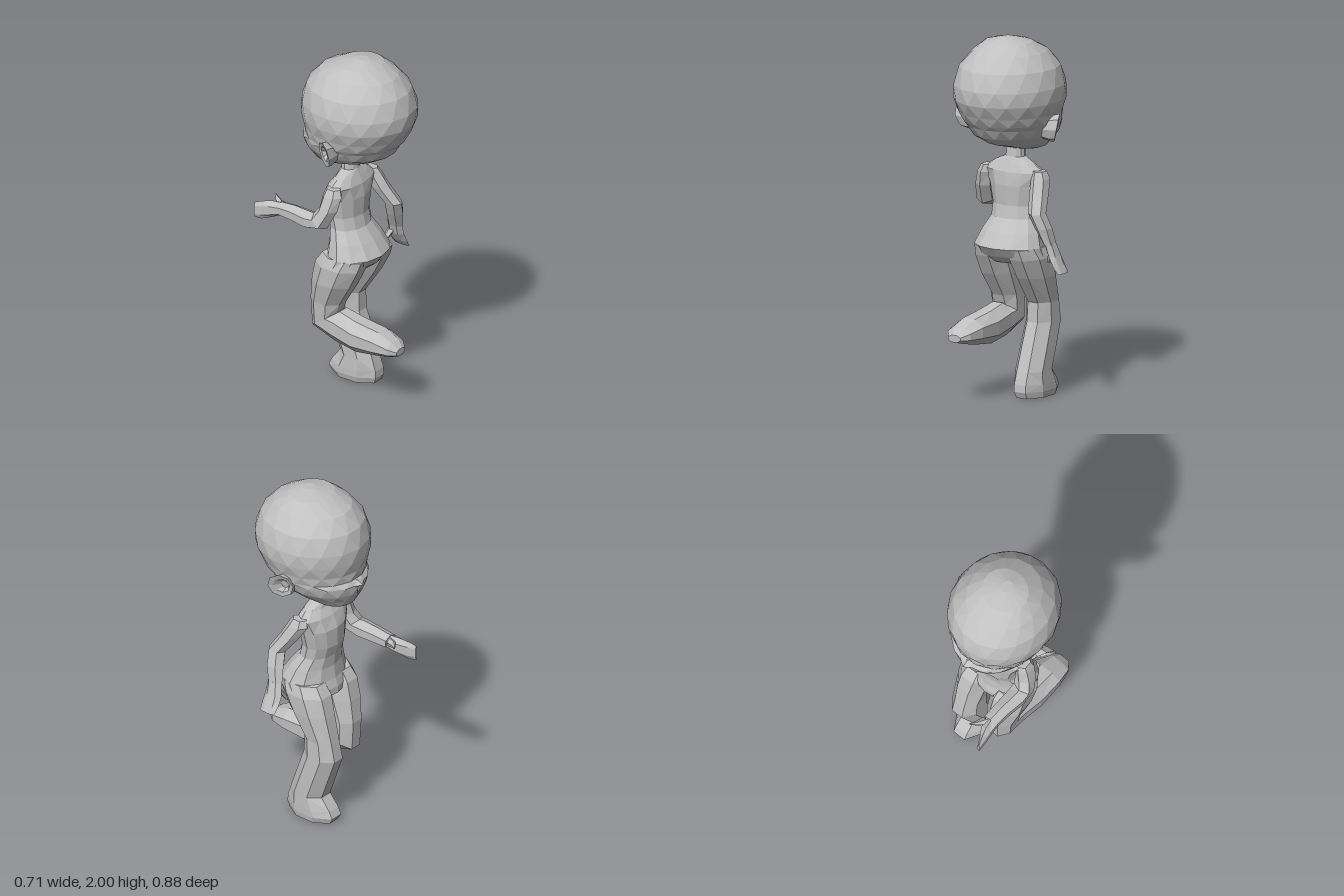
import * as THREE from 'three';

const clay = new THREE.MeshStandardMaterial({ color: 0xc0c0c0 });
clay.name = 'light grey';
clay.flatShading = true;

// Lofts rings [x, y, z, halfWidth, halfDepth, tilt in degrees].
// Tilt 0 travels down, 90 travels to +z, -90 travels to -z.
// turn gives the twist of even and odd rings, in steps of one side.
function loft(name, rings, sides, turn = [0, 0]) {
  const pos = [], idx = [], step = (Math.PI * 2) / sides;
  rings.forEach(([x, y, z, w, d, tilt = 0], j) => {
    const t = THREE.MathUtils.degToRad(tilt), twist = turn[j % 2] * step;
    const grow = 1 / Math.cos(twist);
    for (let i = 0; i < sides; i++) {
      const a = -Math.PI / 2 + i * step + twist;
      const s = Math.sin(a) * d * grow;
      pos.push(x + Math.cos(a) * w * grow, y + s * Math.sin(t), z + s * Math.cos(t));
    }
  });
  for (let j = 0; j < rings.length - 1; j++) {
    for (let i = 0; i < sides; i++) {
      const a = j * sides + i, b = j * sides + (i + 1) % sides;
      const c = a + sides, d = b + sides;
      if (j % 2) idx.push(a, b, d, a, d, c);
      else idx.push(a, b, c, b, d, c);
    }
  }
  // End caps
  const last = (rings.length - 1) * sides, n = rings.length * sides;
  pos.push(...rings[0].slice(0, 3), ...rings[rings.length - 1].slice(0, 3));
  for (let i = 0; i < sides; i++) {
    const k = (i + 1) % sides;
    idx.push(n, k, i, n + 1, last + i, last + k);
  }
  return finish(name, pos, idx);
}

function finish(name, pos, idx) {
  let g = new THREE.BufferGeometry();
  g.setAttribute('position', new THREE.Float32BufferAttribute(pos, 3));
  g.setIndex(idx);
  g = g.toNonIndexed();
  g.computeVertexNormals();
  const mesh = new THREE.Mesh(g, clay);
  mesh.name = name;
  return mesh;
}

// Horizontal ring from its extents
const ring = (y, x0, x1, z0, z1) =>
  [(x0 + x1) / 2, y, (z0 + z1) / 2, (x1 - x0) / 2, (z1 - z0) / 2];

// Cupped ear: loops from the skull out to a rim, then in to the hollow
function ear(name, side) {
  const sides = 8, pos = [], idx = [];
  // out from head centre, y, z, half height, half depth, slant of the rim
  const loops = [
    [0.2, 1.505, 0.06, 0.055, 0.04, 0],
    [0.27, 1.515, 0.062, 0.075, 0.055, 0.02],
    [0.3, 1.522, 0.062, 0.078, 0.06, 0.036],
    [0.293, 1.522, 0.06, 0.05, 0.038, 0.025],
    [0.262, 1.517, 0.058, 0.025, 0.018, 0.01]];
  for (const [out, y, z, h, d, slant] of loops) {
    for (let i = 0; i < sides; i++) {
      const a = (i / sides) * Math.PI * 2, c = Math.cos(a), s = Math.sin(a);
      pos.push(-0.02 + side * (out + slant * (c * 0.5 + s)), y + c * h, z + s * d);
    }
  }
  const add = (a, b, c) => (side > 0 ? idx.push(a, b, c) : idx.push(a, c, b));
  for (let j = 0; j < loops.length - 1; j++) {
    for (let i = 0; i < sides; i++) {
      const a = j * sides + i, b = j * sides + (i + 1) % sides;
      add(a, b, a + sides);
      add(b, b + sides, a + sides);
    }
  }
  const last = (loops.length - 1) * sides;
  for (let i = 1; i < sides - 1; i++) add(last, last + i, last + i + 1);
  return finish(name, pos, idx);
}

export function createModel() {
  const model = new THREE.Group();
  model.name = 'runningFigure';

  // Large round head, faceted in triangles, with a muzzle below the face
  const headRing = (y, r, z0, z1) => ring(y, -0.02 - r, -0.02 + r, z0, z1);
  model.add(loft('head', [
    headRing(2.0, 0.03, 0.07, 0.14),
    headRing(1.975, 0.13, -0.03, 0.21),
    headRing(1.92, 0.2, -0.145, 0.305),
    headRing(1.84, 0.262, -0.21, 0.37),
    headRing(1.74, 0.298, -0.247, 0.411),
    headRing(1.66, 0.292, -0.24, 0.402),
    headRing(1.59, 0.277, -0.232, 0.375),
    headRing(1.54, 0.257, -0.222, 0.342),
    headRing(1.515, 0.247, -0.25, 0.325),
    headRing(1.46, 0.215, -0.235, 0.285),
    headRing(1.41, 0.165, -0.215, 0.2),
    headRing(1.37, 0.11, -0.19, 0.05),
    headRing(1.35, 0.05, -0.14, -0.04)], 16, [0, 0.5]));
  model.add(loft('nose', [
    ring(1.535, -0.05, 0.01, -0.235, -0.18),
    ring(1.515, -0.085, 0.045, -0.27, -0.18),
    ring(1.45, -0.05, 0.01, -0.232, -0.18)], 4));
  model.add(ear('leftEar', 1), ear('rightEar', -1));

  // Neck, sloping shoulders, waist and pelvis
  model.add(loft('torso', [
    ring(1.42, -0.075, 0.035, -0.02, 0.06),
    ring(1.325, -0.08, 0.035, -0.025, 0.07),
    ring(1.29, -0.155, 0.105, -0.03, 0.085),
    ring(1.245, -0.22, 0.17, -0.06, 0.105),
    ring(1.17, -0.185, 0.14, -0.09, 0.115),
    ring(1.06, -0.165, 0.115, -0.09, 0.11),
    ring(0.99, -0.165, 0.115, -0.072, 0.125),
    ring(0.92, -0.2, 0.15, -0.065, 0.18),
    ring(0.84, -0.23, 0.18, -0.075, 0.235),
    ring(0.79, -0.235, 0.185, -0.09, 0.2),
    ring(0.75, -0.19, 0.14, -0.09, 0.15)], 12));

  // Standing leg with its foot
  model.add(loft('leftLeg', [
    ring(0.84, 0.0, 0.17, -0.06, 0.2),
    ring(0.78, -0.012, 0.188, -0.105, 0.18),
    ring(0.67, 0.0, 0.185, -0.135, 0.12),
    ring(0.52, 0.01, 0.17, -0.168, 0.02),
    ring(0.41, 0.005, 0.172, -0.19, 0.025),
    ring(0.28, 0.0, 0.175, -0.145, 0.07),
    ring(0.15, -0.002, 0.176, -0.1, 0.115),
    ring(0.08, -0.005, 0.178, -0.155, 0.137),
    ring(0.04, -0.005, 0.178, -0.175, 0.14),
    ring(0.005, 0.005, 0.172, -0.155, 0.125)], 8, [0.5, 0.5]));

  // Bent leg, with the shin and foot swung back
  model.add(loft('rightLeg', [
    ring(0.84, -0.22, -0.05, -0.06, 0.2),
    ring(0.78, -0.238, -0.035, -0.1, 0.18),
    ring(0.67, -0.235, -0.035, -0.125, 0.125),
    ring(0.54, -0.21, -0.04, -0.145, 0.045),
    [-0.122, 0.43, -0.055, 0.08, 0.1, 35],
    [-0.122, 0.408, 0.03, 0.08, 0.093, 80],
    [-0.126, 0.385, 0.16, 0.092, 0.09, 90],
    [-0.128, 0.385, 0.31, 0.092, 0.07, 90],
    [-0.132, 0.375, 0.4, 0.075, 0.042, 90],
    [-0.135, 0.365, 0.442, 0.04, 0.02, 90]], 8, [0.5, 0.5]));

  // Hanging arm, with hand and thumb
  const leftArm = new THREE.Group();
  leftArm.name = 'leftArm';
  leftArm.add(loft('leftSleeve', [
    [0.145, 1.26, 0.035, 0.035, 0.045],
    [0.155, 1.22, 0.04, 0.047, 0.065],
    [0.175, 1.14, 0.085, 0.05, 0.06],
    [0.205, 1.05, 0.145, 0.047, 0.054],
    [0.238, 0.97, 0.13, 0.045, 0.055],
    [0.268, 0.88, 0.11, 0.027, 0.05]], 6));
  leftArm.add(loft('leftHand', [
    [0.267, 0.89, 0.11, 0.027, 0.045],
    [0.29, 0.82, 0.1, 0.026, 0.055],
    [0.32, 0.765, 0.1, 0.018, 0.055],
    [0.346, 0.727, 0.1, 0.008, 0.048]], 6));
  leftArm.add(loft('leftThumb', [
    [0.272, 0.845, 0.085, 0.018, 0.025],
    [0.242, 0.805, 0.07, 0.014, 0.02],
    [0.225, 0.767, 0.06, 0.006, 0.01]], 5));

  // Raised arm, reaching forward from the elbow
  const rightArm = new THREE.Group();
  rightArm.name = 'rightArm';
  rightArm.add(loft('rightSleeve', [
    [-0.195, 1.26, 0.035, 0.035, 0.045],
    [-0.205, 1.22, 0.035, 0.047, 0.06],
    [-0.223, 1.14, 0.02, 0.056, 0.058],
    [-0.243, 1.065, -0.02, 0.06, 0.057, -40],
    [-0.245, 1.055, -0.09, 0.06, 0.05, -85],
    [-0.236, 1.06, -0.2, 0.052, 0.046, -90],
    [-0.232, 1.06, -0.29, 0.048, 0.038, -90]], 6));
  rightArm.add(loft('rightHand', [
    [-0.235, 1.06, -0.28, 0.046, 0.036, -90],
    [-0.245, 1.045, -0.345, 0.035, 0.05, -90],
    [-0.262, 1.03, -0.4, 0.018, 0.053, -90],
    [-0.272, 1.025, -0.438, 0.009, 0.045, -90]], 6));
  rightArm.add(loft('rightThumb', [
    [-0.215, 1.07, -0.3, 0.03, 0.025, -90],
    [-0.19, 1.08, -0.345, 0.018, 0.018, -90],
    [-0.162, 1.088, -0.378, 0.006, 0.01, -90]], 5));
  model.add(leftArm, rightArm);

  return model;
}
